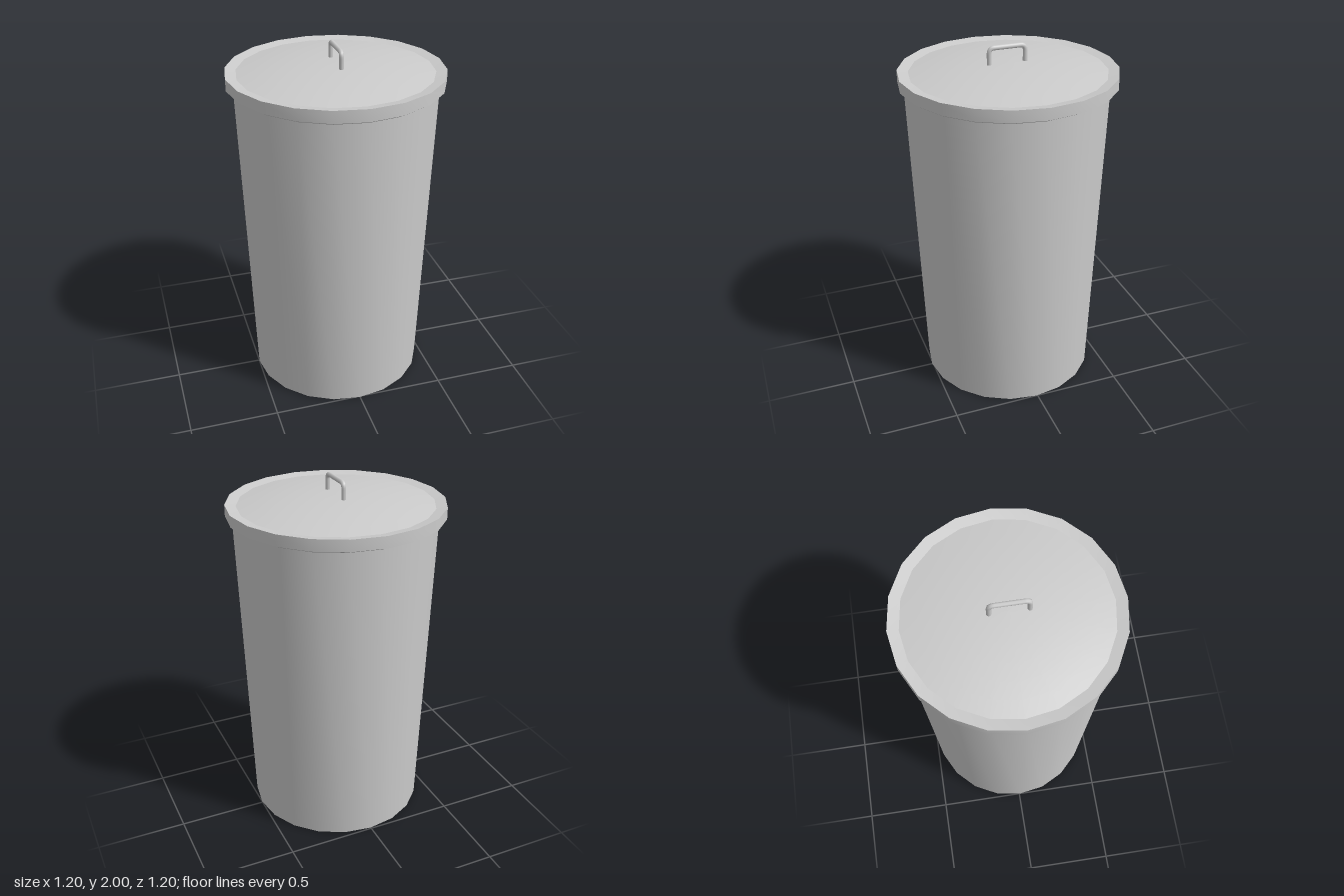
import * as THREE from 'three';
import { toCreasedNormals } from 'three/addons/utils/BufferGeometryUtils.js';

const SIDES = 20;
const material = new THREE.MeshStandardMaterial({ color: 0xcccccc, side: THREE.DoubleSide });

function addMesh(parent, name, geometry) {
  const mesh = new THREE.Mesh(geometry, material);
  mesh.name = name;
  parent.add(mesh);
  return mesh;
}

// Turned part: smooth around the axis, sharp along the profile corners
function turned(points) {
  const profile = points.map(([r, y]) => new THREE.Vector2(r, y));
  return toCreasedNormals(new THREE.LatheGeometry(profile, SIDES), 0.4);
}

export function createModel() {
  const model = new THREE.Group();
  model.name = 'trashCan';

  // Tapered hollow body with a small rolled rim
  const body = addMesh(model, 'body', turned([
    [0, 0], [0.5, 0], [0.562, 1.78], [0.572, 1.787], [0.572, 1.84],
    [0.545, 1.84], [0.48, 0.03], [0, 0.03],
  ]));
  body.position.z = 0.007;

  const lid = new THREE.Group();
  lid.name = 'lid';
  model.add(lid);

  // Overhanging lid skirt, its top sloping slightly inward
  addMesh(lid, 'lidRim', turned([
    [0.54, 1.842], [0.585, 1.842], [0.585, 1.8], [0.6, 1.8], [0.6, 1.864], [0.54, 1.854],
  ]));

  // Shallow domed top
  const dome = [];
  for (let i = 0; i <= 6; i++) {
    const t = 1 - i / 6;
    dome.push(new THREE.Vector2(0.54 * t, 1.854 + 0.046 * (1 - t * t)));
  }
  addMesh(lid, 'lidDome', new THREE.LatheGeometry(dome, SIDES));

  // Bent-rod handle running front to back
  const v = (y, z) => new THREE.Vector3(0, y, z);
  const top = 1.987, half = 0.102, bend = 0.028;
  const path = new THREE.CurvePath();
  path.add(new THREE.LineCurve3(v(1.88, half), v(top - bend, half)));
  path.add(new THREE.QuadraticBezierCurve3(v(top - bend, half), v(top, half), v(top, half - bend)));
  path.add(new THREE.LineCurve3(v(top, half - bend), v(top, bend - half)));
  path.add(new THREE.QuadraticBezierCurve3(v(top, bend - half), v(top, -half), v(top - bend, -half)));
  path.add(new THREE.LineCurve3(v(top - bend, -half), v(1.88, -half)));
  const handle = addMesh(lid, 'handle', new THREE.TubeGeometry(path, 48, 0.0135, 8, false));
  handle.position.z = 0.007;

  return model;
}
